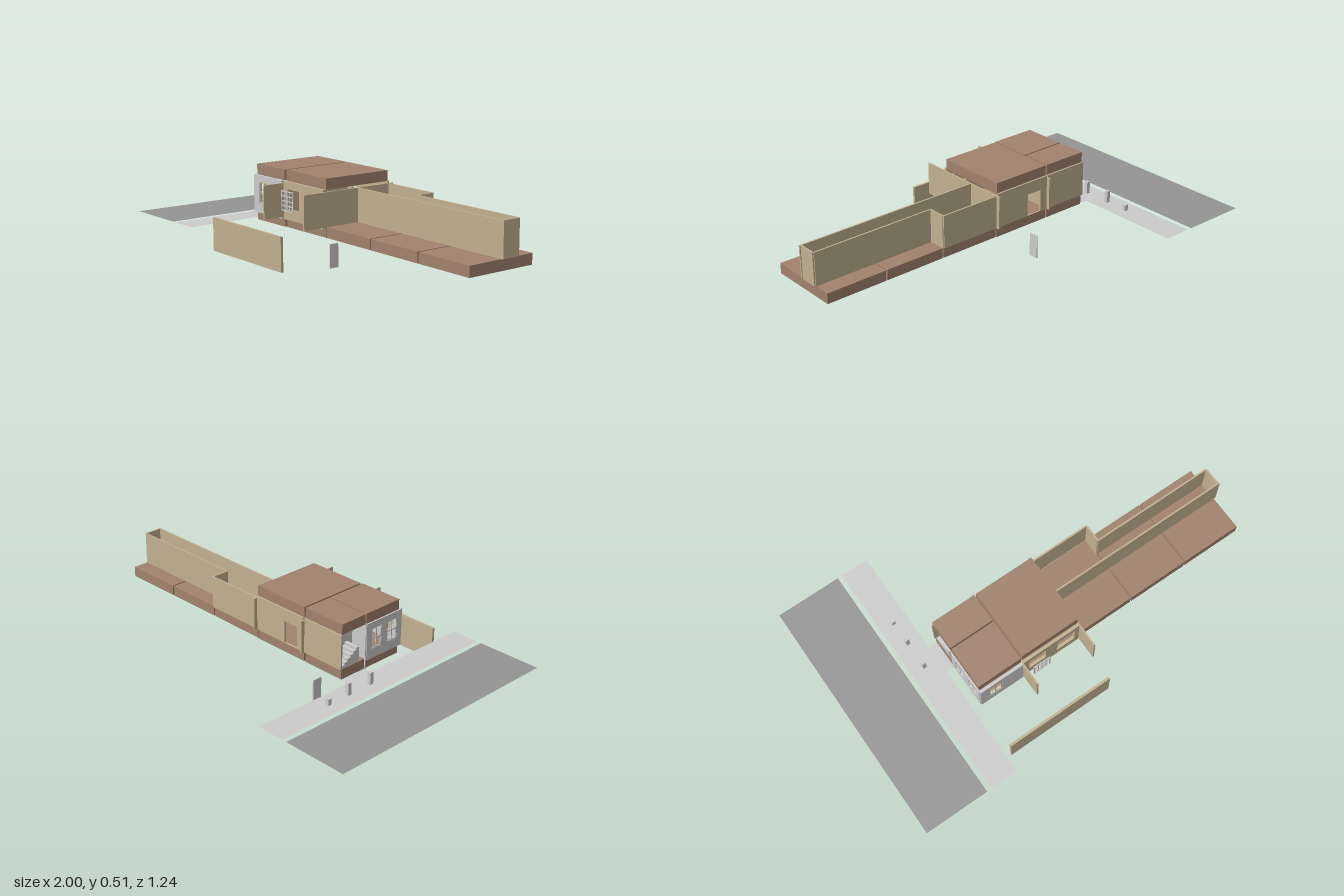
import * as THREE from 'three';

const mat = (color) => new THREE.MeshStandardMaterial({ color, side: THREE.DoubleSide });

export function createModel() {
  const group = new THREE.Group();
  const brown = mat(0xa1826e), tan = mat(0xc2b090), grey = mat(0xcccccc), asphalt = mat(0x949494);

  const add = (name, geometry, material) => {
    const mesh = new THREE.Mesh(geometry, material);
    mesh.name = name;
    group.add(mesh);
    return mesh;
  };

  // Box given by its min and max on each axis
  const box = (name, material, x0, x1, y0, y1, z0, z1) =>
    add(name, new THREE.BoxGeometry(x1 - x0, y1 - y0, z1 - z0), material)
      .position.set((x0 + x1) / 2, (y0 + y1) / 2, (z0 + z1) / 2);

  // Thin wall along x or z, with rectangular holes [a0, a1, y0, y1]
  const wall = (name, material, axis, pos, a0, a1, y0, y1, holes = [], t = 0.008) => {
    const rect = (P, [l, r, b, u]) => {
      const p = new P();
      p.moveTo(l, b); p.lineTo(r, b); p.lineTo(r, u); p.lineTo(l, u); p.closePath();
      return p;
    };
    const shape = rect(THREE.Shape, [a0, a1, y0, y1]);
    shape.holes = holes.map((h) => rect(THREE.Path, h));
    const g = new THREE.ExtrudeGeometry(shape, { depth: t, bevelEnabled: false });
    g.translate(0, 0, -t / 2);
    if (axis === 'z') g.rotateY(-Math.PI / 2).translate(pos, 0, 0);
    else g.translate(0, 0, pos);
    return add(name, g, material);
  };

  // Window frame split into a grid of panes
  const frame = (name, material, axis, pos, [a0, a1, y0, y1], cols, rows) => {
    const b = 0.005, w = (a1 - a0 - b) / cols, h = (y1 - y0 - b) / rows, panes = [];
    for (let i = 0; i < cols; i++) for (let j = 0; j < rows; j++) {
      panes.push([a0 + b + i * w, a0 + (i + 1) * w, y0 + b + j * h, y0 + (j + 1) * h]);
    }
    wall(name, material, axis, pos, a0, a1, y0, y1, panes, 0.004);
  };

  // Floor slabs, and roof slabs over the house
  for (const [name, y0, y1] of [['floorSlab', 0.24, 0.29], ['roofSlab', 0.46, 0.51]]) {
    box(name, brown, -0.476, -0.252, y0, y1, -0.095, 0.05);
    box(name, brown, -0.476, -0.252, y0, y1, 0.057, 0.267);
    box(name, brown, -0.243, 0.058, y0, y1, -0.095, 0.262);
  }
  for (const x of [0.064, 0.375, 0.686]) box('floorSlab', brown, x, x + 0.304, 0.24, 0.29, -0.092, 0.262);

  // Cross walls that stick out at front and back
  for (const x of [-0.248, 0.061]) wall('crossWall', tan, 'z', x, -0.12, 0.39, 0.29, 0.45);

  // Long garden walls
  wall('gardenFrontWall', tan, 'x', 0.082, 0.06, 1, 0.29, 0.45);
  wall('gardenBackWall', tan, 'x', -0.008, 0.37, 0.99, 0.29, 0.45);
  wall('gardenStepWall', tan, 'z', 0.37, -0.095, -0.008, 0.29, 0.45);
  wall('gardenRearWall', tan, 'x', -0.097, 0.06, 0.37, 0.29, 0.45);
  wall('gardenEndWall', tan, 'z', 0.992, -0.008, 0.082, 0.29, 0.45);

  // Tan house walls with windows and a back door
  const frontWindow = [-0.215, -0.125, 0.33, 0.425];
  wall('frontWall', tan, 'x', 0.272, -0.244, 0.057, 0.28, 0.46,
    [frontWindow, [-0.062, 0.034, 0.325, 0.425]], 0.014);
  frame('frontWindowFrame', grey, 'x', 0.312, frontWindow, 4, 4);
  wall('backWall', tan, 'x', -0.099, -0.244, 0.057, 0.29, 0.46, [[-0.205, -0.125, 0.292, 0.4]]);
  wall('backSideWall', tan, 'x', -0.099, -0.48, -0.252, 0.29, 0.46);

  // Grey shop walls with framed windows
  const shopWindow = [-0.435, -0.365, 0.33, 0.43];
  wall('shopFrontWall', grey, 'x', 0.277, -0.48, -0.252, 0.28, 0.46, [shopWindow], 0.014);
  frame('shopWindowFrame', tan, 'x', 0.28, shopWindow, 2, 2);
  const sideWindows = [[0.085, 0.15, 0.325, 0.43], [0.185, 0.25, 0.325, 0.43]];
  wall('shopSideWall', grey, 'z', -0.479, 0.055, 0.277, 0.28, 0.46, sideWindows);
  for (const w of sideWindows) frame('sideWindowFrame', grey, 'z', -0.48, w, 2, 2);
  wall('partition', grey, 'x', 0.053, -0.48, -0.252, 0.232, 0.462, [], 0.005);

  // Recessed porch with stairs
  wall('porchWall', grey, 'z', -0.395, -0.095, 0.05, 0.29, 0.46);
  for (let i = 0; i < 6; i++) {
    box('stair', grey, -0.473, -0.4, 0.29, 0.302 + i * 0.012, -0.09 + i * 0.018, -0.072 + i * 0.018);
  }

  // Flat ground sheets
  const sheet = (name, material, x0, x1, z0, z1) =>
    add(name, new THREE.PlaneGeometry(x1 - x0, z1 - z0).rotateX(-Math.PI / 2), material)
      .position.set((x0 + x1) / 2, 0.24, (z0 + z1) / 2);
  sheet('road', asphalt, -1, -0.68, -0.62, 0.615);
  sheet('pavement', grey, -0.657, -0.52, -0.62, 0.615);
  sheet('porchPath', grey, -0.52, -0.477, -0.09, 0.05);

  // Posts on the pavement
  for (const [z, h] of [[-0.028, 0.06], [-0.165, 0.06], [-0.285, 0.03]]) {
    box('post', grey, -0.597, -0.579, 0.24, 0.24 + h, z - 0.009, z + 0.009);
  }

  // Separate front fence and lower door panel
  box('fence', tan, -0.482, 0.064, 0.12, 0.28, 0.505, 0.517);
  box('doorPanel', grey, -0.251, -0.246, 0, 0.12, -0.04, 0.01);

  return group;
}
